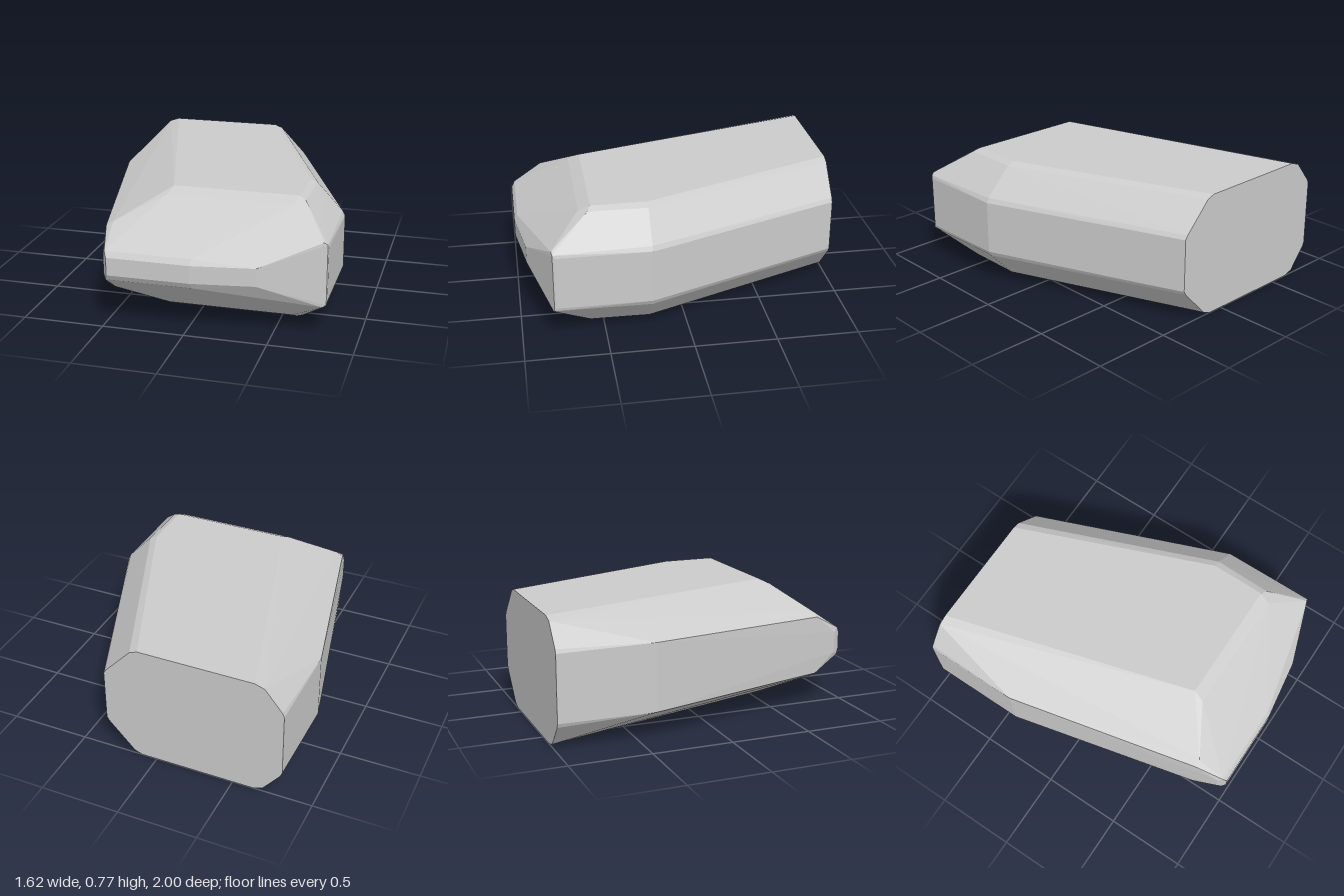
import * as THREE from 'three';
import { ConvexGeometry } from 'three/addons/geometries/ConvexGeometry.js';

const HEIGHT = 0.77;

// Corners of the upper half [x, y, z]; the lower half mirrors them.
const backRim = [
  [-0.81, 0.59, -1], [-0.80, 0.615, -1], [-0.69, 0.75, -1], [-0.63, 0.77, -1],
  [0.10, 0.77, -1], [0.15, 0.75, -1], [0.315, 0.575, -1], [0.33, 0.55, -1],
];
const leftShoulder = [
  [0.59, 0.77, 0.22], [0.635, 0.75, 0.22], [0.795, 0.58, 0.22], [0.81, 0.55, 0.22],
  [0.59, 0.77, 0.56], [0.63, 0.75, 0.58], [0.57, 0.735, 0.63],
];
const rightFlank = [
  [-0.81, 0.595, -0.4], [-0.18, 0.77, 0.56], [-0.20, 0.735, 0.63],
  [-0.53, 0.57, 0.8], [-0.485, 0.595, 0.8],
];
const nose = [
  [-0.50, 0.45, 0.95], [-0.48, 0.475, 0.98], [-0.465, 0.44, 1],
  [0.05, 0.475, 0.98], [0.04, 0.44, 1], [0.42, 0.44, 0.945],
  [0.785, 0.585, 0.81], [0.805, 0.57, 0.805], [0.81, 0.55, 0.79],
];

export function createModel() {
  const group = new THREE.Group();
  group.name = 'facetedBlock';

  // Mirror the corners about mid-height and wrap them in one faceted skin
  const points = [...backRim, ...leftShoulder, ...rightFlank, ...nose].flatMap(([x, y, z]) => [
    new THREE.Vector3(x, y, z),
    new THREE.Vector3(x, HEIGHT - y, z),
  ]);
  const block = new THREE.Mesh(
    new ConvexGeometry(points),
    new THREE.MeshStandardMaterial({ color: 0xcccccc, flatShading: true })
  );
  block.name = 'bevelledBlock';
  group.add(block);
  return group;
}
